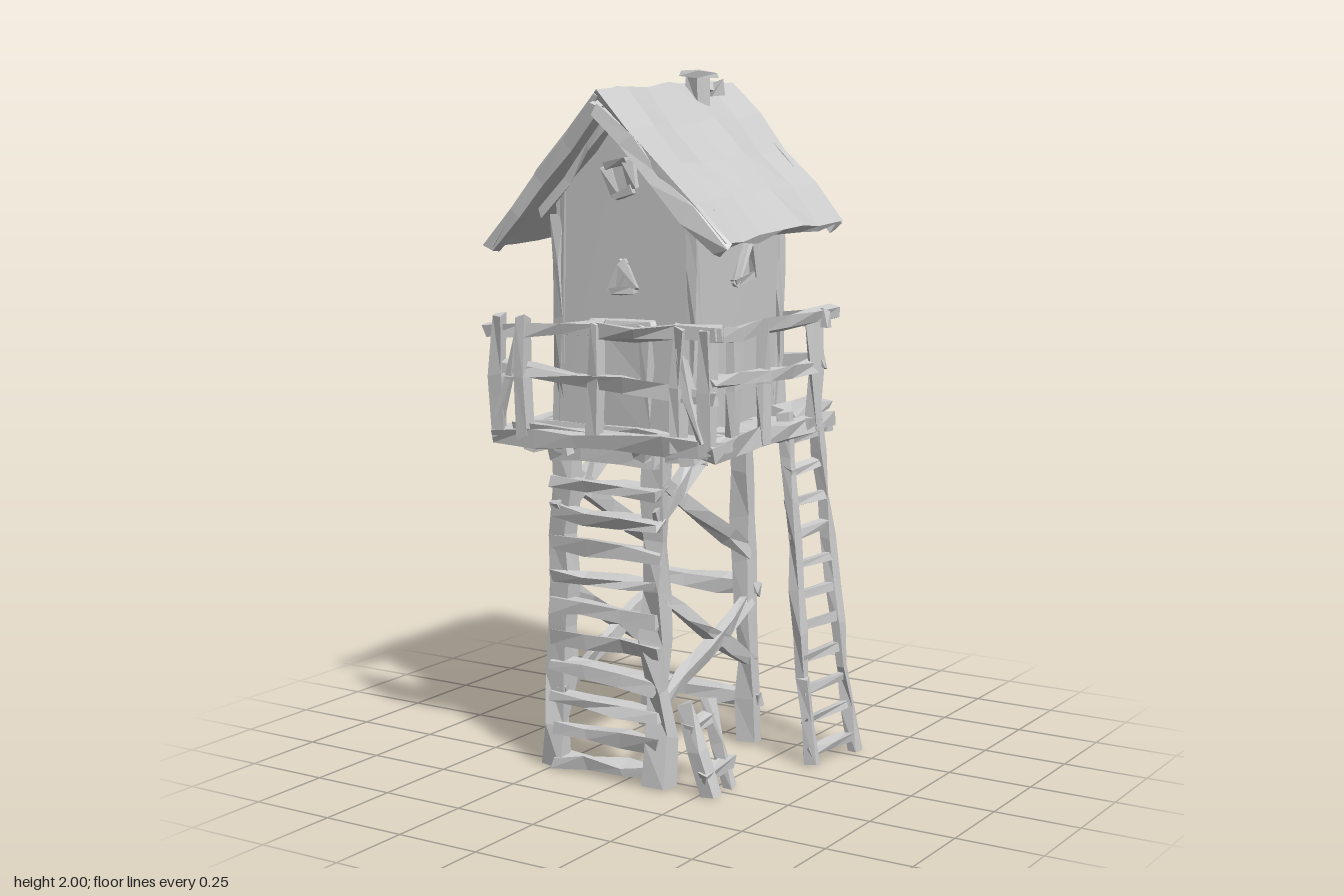
import * as THREE from 'three';

const material = new THREE.MeshStandardMaterial({ color: 0xcccccc, flatShading: true, side: THREE.DoubleSide });

// Repeatable noise by position, so that shared corners move together
function noise(x, y, z, k) {
  const q = (v) => Math.round(v * 500);
  const s = Math.sin(q(x) * 12.9898 + q(y) * 78.233 + q(z) * 37.719 + k * 53.17) * 43758.5453;
  return (s - Math.floor(s)) * 2 - 1;
}

function roughen(geo, amount) {
  const p = geo.attributes.position;
  for (let i = 0; i < p.count; i++) {
    const x = p.getX(i), y = p.getY(i), z = p.getZ(i);
    p.setXYZ(i, x + amount * noise(x, y, z, 1),
      Math.max(0, y + amount * noise(x, y, z, 2)), z + amount * noise(x, y, z, 3));
  }
  geo.computeVertexNormals();
  return geo;
}

function add(parent, name, geo) {
  const mesh = new THREE.Mesh(geo, material);
  mesh.name = name;
  parent.add(mesh);
}

// Rough-hewn timber from a to b, h thick and w wide
function beam(parent, name, a, b, h = 0.035, w = h, rough = 0.01) {
  const A = new THREE.Vector3(...a), B = new THREE.Vector3(...b);
  const X = B.clone().sub(A), len = X.length();
  X.normalize();
  const up = Math.abs(X.y) > 0.9 ? new THREE.Vector3(0, 0, 1) : new THREE.Vector3(0, 1, 0);
  const Z = X.clone().cross(up).normalize(), Y = Z.clone().cross(X);
  const geo = new THREE.BoxGeometry(len, h, w, Math.max(1, Math.round(len / 0.14)), 1, Math.max(1, Math.round(w / 0.12)));
  const m = new THREE.Matrix4().makeBasis(X, Y, Z).setPosition(A.add(B).multiplyScalar(0.5));
  add(parent, name, roughen(geo.applyMatrix4(m), rough));
}

// Wall panel from an outline, with an optional window hole
function panel(outline, hole) {
  const pts = (l) => l.map(([x, y]) => new THREE.Vector2(x, y));
  const shape = new THREE.Shape(pts(outline));
  if (hole) shape.holes.push(new THREE.Path(pts(hole)));
  return new THREE.ExtrudeGeometry(shape, { depth: 0.025, bevelEnabled: false });
}

// Closed ring of timbers around a window
function frame(parent, name, points) {
  points.forEach((p, i) => beam(parent, name, p, points[(i + 1) % points.length], 0.018, 0.028, 0.006));
}

function group(parent, name) {
  const g = new THREE.Group();
  g.name = name;
  parent.add(g);
  return g;
}

export function createModel() {
  const model = new THREE.Group();
  model.name = 'watchtower';

  // Legs, slightly splayed, the front pair heavier
  const legs = group(model, 'legs');
  for (const [xb, xt] of [[-0.24, -0.21], [0.115, 0.085]]) {
    beam(legs, 'frontLeg', [xb, 0, 0.3], [xt, 0.97, 0.28], 0.05, 0.065, 0.013);
    beam(legs, 'backLeg', [xb, 0, -0.2], [xt, 0.97, -0.19], 0.045, 0.05);
  }

  // Steps between the front legs
  const steps = group(model, 'frontSteps');
  for (let i = 0; i < 11; i++) {
    const y = 0.03 + i * 0.09, n = 0.01 * noise(i, 2, 5, 1);
    beam(steps, 'step', [-0.24, y + n, 0.305], [0.12, y - n, 0.305], 0.036, 0.045);
  }

  // Side and back braces
  const braces = group(model, 'braces');
  for (const x of [-0.22, 0.11]) {
    beam(braces, 'sideBrace', [x, 0.87, 0.29], [x, 0.59, -0.19], 0.042, 0.03);
    beam(braces, 'sideBrace', [x, 0.55, 0.29], [x, 0.25, -0.2], 0.038, 0.03);
    beam(braces, 'sideBrace', [x, 0.23, 0.3], [x, 0.44, -0.2], 0.042, 0.03);
    beam(braces, 'kneeBrace', [x, 0.76, 0.31], [x, 0.96, 0], 0.05, 0.03);
  }
  beam(braces, 'backBrace', [-0.25, 0.13, -0.22], [0.14, 0.13, -0.22], 0.045, 0.035);
  beam(braces, 'backBrace', [-0.24, 0.48, -0.22], [0.13, 0.47, -0.22], 0.045, 0.035);

  // Platform: joists, planks and edge boards
  const platform = group(model, 'platform');
  for (const [x, end] of [[-0.28, -0.375], [-0.18, -0.365], [0.085, -0.36], [0.24, -0.37]])
    beam(platform, 'joist', [x, 0.955, 0.36], [x, 0.965, end], 0.04, 0.045);
  for (const z of [0.27, -0.19]) beam(platform, 'crossJoist', [-0.3, 0.945, z], [0.25, 0.945, z], 0.035, 0.04);
  for (let i = 0; i < 8; i++) {
    const z = 0.315 - i * 0.087, n = 0.03 * noise(i, 7, 1, 1);
    beam(platform, 'plank', [-0.37 + n, 0.985, z], [0.3 + n, 0.985, z], 0.03, 0.086);
  }
  beam(platform, 'frontEdge', [-0.41, 0.965, 0.36], [0.31, 0.985, 0.36], 0.05, 0.035);
  beam(platform, 'backEdge', [-0.38, 0.985, -0.32], [0.31, 0.97, -0.32], 0.05, 0.035);
  beam(platform, 'sideEdge', [-0.385, 0.965, 0.36], [-0.38, 0.985, -0.33], 0.05, 0.035);
  beam(platform, 'sideEdge', [0.305, 0.975, 0.37], [0.3, 0.985, -0.33], 0.05, 0.035);
  beam(platform, 'looseBoard', [-0.43, 0.99, -0.25], [-0.27, 1.005, -0.26], 0.025, 0.035);
  beam(platform, 'ladderLanding', [0.25, 1.015, -0.15], [0.25, 1.015, -0.38], 0.03, 0.07);
  beam(platform, 'hangingSplinter', [0.25, 0.97, -0.34], [0.25, 0.88, -0.36], 0.025, 0.02);

  // Railings: front, left side, and a short one against the back wall
  const rails = group(model, 'railings');
  for (const x of [-0.385, -0.3, -0.065, 0.21, 0.31])
    beam(rails, 'railPost', [x, 0.97, 0.36], [x + 0.015 * noise(x, 0.36, 1, 1), 1.31, 0.36], 0.035, 0.035);
  beam(rails, 'topRail', [-0.43, 1.27, 0.36], [-0.03, 1.29, 0.36], 0.04, 0.025);
  beam(rails, 'topRail', [-0.06, 1.28, 0.365], [0.35, 1.3, 0.36], 0.04, 0.025);
  beam(rails, 'midRail', [-0.41, 1.16, 0.36], [0.33, 1.13, 0.36], 0.04, 0.022);
  beam(rails, 'railBrace', [-0.38, 1.02, 0.365], [-0.3, 1.26, 0.365], 0.03, 0.02);
  beam(rails, 'railBrace', [0.22, 1.25, 0.365], [0.3, 1.0, 0.365], 0.03, 0.02);
  for (const z of [0.23, 0.07, -0.22]) beam(rails, 'railPost', [0.31, 0.97, z], [0.31, 1.3, z], 0.035, 0.03);
  beam(rails, 'topRail', [0.32, 1.29, 0.375], [0.31, 1.3, -0.34], 0.04, 0.025);
  beam(rails, 'midRail', [0.32, 1.17, 0.375], [0.31, 1.15, -0.24], 0.035, 0.022);
  beam(rails, 'topRail', [0.34, 1.29, -0.25], [-0.05, 1.28, -0.26], 0.04, 0.025);
  beam(rails, 'midRail', [0.33, 1.16, -0.25], [-0.24, 1.13, -0.26], 0.04, 0.025);
  beam(rails, 'railPost', [0.08, 0.97, -0.26], [0.08, 1.3, -0.255], 0.03, 0.03);

  // Cabin walls, the gable open at the back
  const cabin = group(model, 'cabin');
  const front = panel([[-0.265, 0.99], [0.185, 0.99], [0.185, 1.62], [-0.04, 1.9], [-0.265, 1.68]]);
  add(cabin, 'frontWall', roughen(front.translate(0, 0, 0.215), 0.006));
  const back = panel([[-0.265, 0.99], [0.185, 0.99], [0.185, 1.58], [-0.265, 1.58]],
    [[-0.08, 1.27], [0.0, 1.27], [-0.01, 1.43], [-0.07, 1.43]]);
  add(cabin, 'backWall', roughen(back.translate(0, 0, -0.24), 0.006));
  for (const [name, x] of [['leftWall', 0.16], ['rightWall', -0.265]]) {
    const side = panel([[-0.24, 0.99], [0.235, 0.99], [0.235, 1.66], [-0.24, 1.66]]).rotateY(Math.PI / 2);
    add(cabin, name, roughen(side.translate(x, 0, 0), 0.006));
  }

  // Corner posts, tie beam, door and window trim
  for (const x of [-0.265, 0.18]) for (const z of [-0.235, 0.23])
    beam(cabin, 'cornerPost', [x, 0.99, z], [x, 1.6, z], 0.03, 0.03);
  beam(cabin, 'tieBeam', [-0.33, 1.57, -0.25], [0.25, 1.57, -0.25], 0.05, 0.035);
  for (const x of [-0.12, 0.04]) beam(cabin, 'doorPost', [x, 1, 0.25], [x, 1.29, 0.25], 0.025, 0.025);
  beam(cabin, 'door', [-0.04, 1, 0.242], [-0.04, 1.27, 0.242], 0.015, 0.14, 0.004);
  beam(cabin, 'doorLintel', [-0.14, 1.29, 0.25], [0.06, 1.29, 0.25], 0.03, 0.025);
  frame(cabin, 'frontWindowFrame', [[-0.075, 1.385, 0.245], [0.005, 1.39, 0.245], [-0.035, 1.47, 0.245]]);
  frame(cabin, 'gableWindowFrame', [[-0.09, 1.73, 0.245], [-0.065, 1.645, 0.245], [0, 1.67, 0.245], [-0.02, 1.745, 0.245]]);
  frame(cabin, 'sideWindowFrame', [[0.193, 1.4, 0.04], [0.193, 1.42, -0.07], [0.193, 1.52, -0.05]]);
  beam(cabin, 'backShutter', [-0.08, 1.23, -0.25], [-0.11, 1.46, -0.27], 0.025, 0.05);
  beam(cabin, 'backShutter', [0.02, 1.23, -0.25], [0, 1.46, -0.26], 0.025, 0.03);

  // Roof slabs and gable boards
  const roof = group(model, 'roof');
  for (const [x, y] of [[-0.415, 1.53], [0.325, 1.545]]) {
    beam(roof, 'roofSlab', [-0.05, 1.945, 0.01], [x, y, 0.01], 0.024, 0.69, 0.01);
    for (const z of [0.35, -0.32])
      beam(roof, 'gableBoard', [-0.05, 1.915, z], [x, y - 0.015, z], 0.045, 0.03);
    beam(roof, 'rafter', [-0.05, 1.89, 0.255], [x * 0.75, y + 0.08, 0.255], 0.03, 0.025);
  }
  beam(roof, 'ridgeBeam', [-0.05, 1.9, 0.35], [-0.05, 1.9, -0.33], 0.035, 0.035);

  // The ridge rises towards the back and the left front eave is cut back
  for (const { geometry } of roof.children) {
    const p = geometry.attributes.position;
    for (let i = 0; i < p.count; i++) {
      const x = p.getX(i), z = p.getZ(i);
      p.setY(i, p.getY(i) - 0.05 * z);
      if (z > 0) p.setZ(i, z * (1 - 0.35 * Math.max(0, x - 0.05)));
    }
    geometry.computeVertexNormals();
  }

  // Small chimney
  const chimney = group(model, 'chimney');
  beam(chimney, 'chimneyStack', [-0.01, 1.89, -0.1], [-0.01, 1.98, -0.1], 0.05, 0.045);
  beam(chimney, 'chimneyCap', [-0.005, 1.985, -0.05], [-0.005, 1.985, -0.15], 0.018, 0.06, 0.006);
  beam(chimney, 'ridgeChip', [-0.02, 1.93, -0.16], [-0.01, 1.95, -0.21], 0.035, 0.045);

  // Leaning ladder on the left side, its back stile standing further out
  const ladder = group(model, 'ladder');
  const at = (t, z) => [0.4 - 0.105 * Math.pow(t, 0.8) - 0.2 * (z + 0.18) * (1 - 0.5 * t), t * 1.03, z];
  for (const [zb, zt] of [[-0.1, -0.1], [-0.295, -0.245]]) for (let i = 0; i < 4; i++) {
    const z = (t) => zb + (zt - zb) * t;
    beam(ladder, 'stile', at(i / 4, z(i / 4)), at((i + 1) / 4, z((i + 1) / 4)), 0.028, 0.028, 0.007);
  }
  for (let i = 0; i < 11; i++) {
    const t = 0.04 + i * 0.088;
    beam(ladder, 'rung', at(t, -0.09), at(t + 0.008, -0.3 + 0.05 * t), 0.024, 0.024, 0.006);
  }

  // Broken end of a ladder leaning over the ground
  const debris = group(model, 'brokenLadder');
  for (const [z, top] of [[0.2, 0.25], [0.305, 0.26]])
    beam(debris, 'brokenStile', [0.285, 0, z], [0.205, top, z], 0.03, 0.035);
  for (const [x, y] of [[0.27, 0.06], [0.225, 0.19]])
    beam(debris, 'brokenRung', [x, y, 0.33], [x, y + 0.01, 0.18], 0.03, 0.025);

  return model;
}
